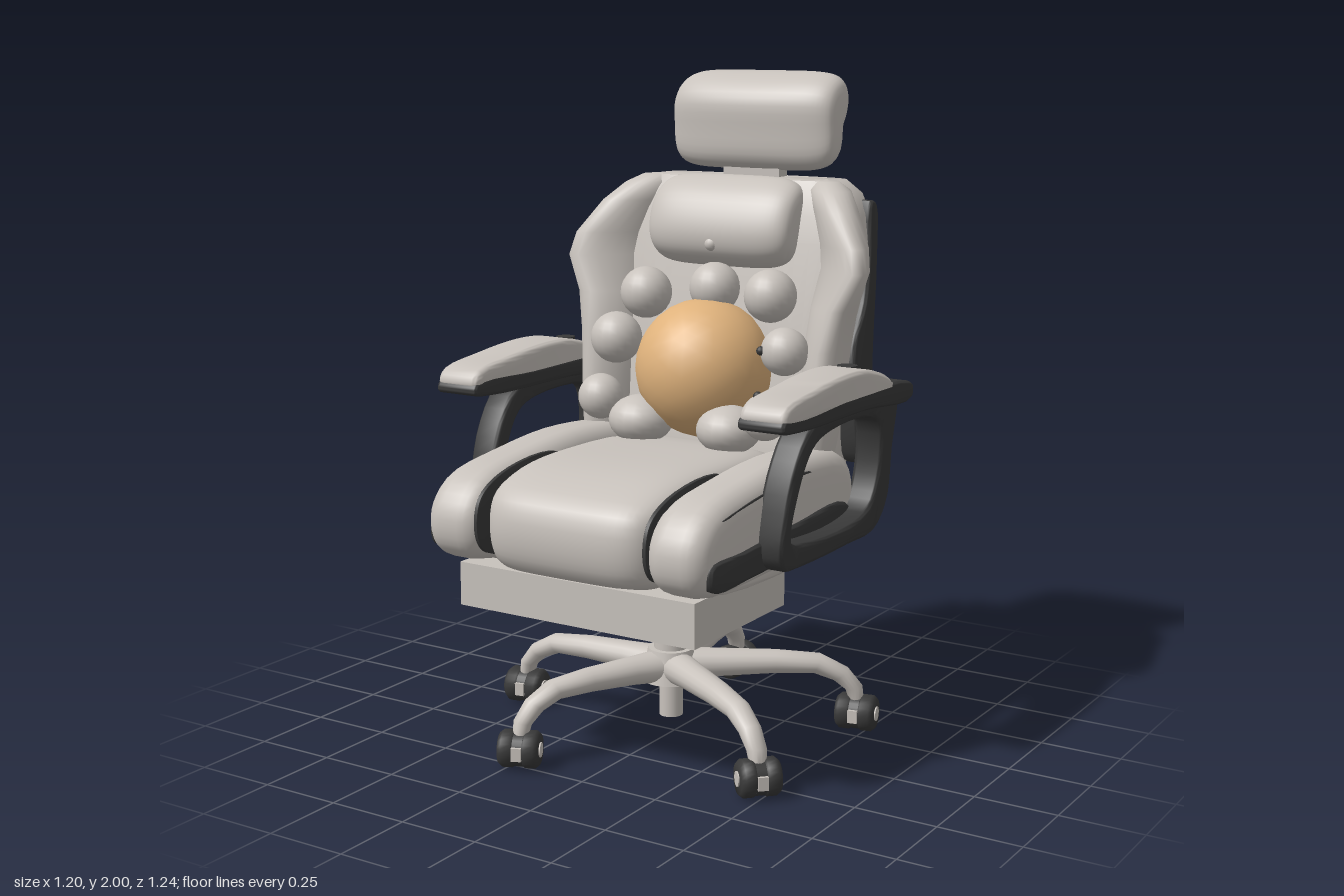
import * as THREE from 'three';
import { toCreasedNormals } from 'three/addons/utils/BufferGeometryUtils.js';

const mat = (name, color) => {
  const m = new THREE.MeshStandardMaterial({ color });
  m.name = name;
  return m;
};

// closed smooth outline through a few points
function outline(pts, n = 40) {
  const c = new THREE.CatmullRomCurve3(pts.map(([a, b]) => new THREE.Vector3(a, b, 0)), true, 'centripetal');
  return c.getPoints(n).slice(0, n).map(p => new THREE.Vector2(p.x, p.y));
}

// side profile of [z, y] points, extruded across x with rounded rims
function slab(pts, x, width, bevel, hole) {
  const shape = new THREE.Shape(outline(pts));
  if (hole) shape.holes.push(new THREE.Path(outline(hole)));
  const depth = width - 2 * bevel;
  const g = new THREE.ExtrudeGeometry(shape, {
    depth, bevelEnabled: true, bevelSize: bevel, bevelOffset: -bevel, bevelThickness: bevel, bevelSegments: 5,
  });
  g.translate(0, 0, -depth / 2).rotateY(-Math.PI / 2).translate(x, 0, 0);
  return toCreasedNormals(g, 0.8);
}

// moves each vertex sideways in proportion to its height above y0
function lean(geo, y0, slope) {
  const p = geo.attributes.position;
  for (let i = 0; i < p.count; i++) p.setX(i, p.getX(i) + (p.getY(i) - y0) * slope);
  return geo;
}

// skin over closed rings of points, capped at both ends and turned outwards
function loft(rings) {
  const n = rings[0].length, last = rings.length - 1, pts = rings.flat(), idx = [];
  for (let r = 0; r < last; r++) for (let i = 0; i < n; i++) {
    const a = r * n + i, b = r * n + (i + 1) % n;
    idx.push(a, b, a + n, b, b + n, a + n);
  }
  [0, last].forEach(r => {
    const c = pts.length;
    pts.push(rings[r].reduce((s, p) => s.add(p), new THREE.Vector3()).divideScalar(n));
    for (let i = 0; i < n; i++) {
      const a = r * n + i, b = r * n + (i + 1) % n;
      idx.push(...(r ? [c, a, b] : [c, b, a]));
    }
  });
  let volume = 0;
  for (let i = 0; i < idx.length; i += 3) {
    volume += pts[idx[i]].dot(pts[idx[i + 1]].clone().cross(pts[idx[i + 2]]));
  }
  if (volume < 0) idx.reverse();
  const g = new THREE.BufferGeometry().setFromPoints(pts);
  g.setIndex(idx);
  return toCreasedNormals(g, 0.9);
}

// stuffed cushion: a side profile swept across x, closing at both ends; bow thins the depth towards the ends
function cushion(pts, width, n, bow) {
  const o = outline(pts), c = o.reduce((s, p) => s.add(p), new THREE.Vector2()).divideScalar(o.length);
  return loft(Array.from({ length: 33 }, (_, i) => {
    const u = 0.9999 * Math.sin((i / 32 - 0.5) * Math.PI), k = (1 - Math.abs(u) ** n) ** (1 / n);
    return o.map(p => new THREE.Vector3(u * width / 2, c.y + (p.y - c.y) * k, c.x + (p.x - c.x) * k * (1 - bow * u * u)));
  }));
}

const ring = (n, f) => Array.from({ length: n }, (_, i) => f(Math.cos(i / n * 2 * Math.PI), Math.sin(i / n * 2 * Math.PI)));
const power = (v, e) => Math.sign(v) * Math.abs(v) ** e;
const path = pts => new THREE.CatmullRomCurve3(pts.map(a => new THREE.Vector3(...a)));

export function createModel() {
  const root = new THREE.Group();
  const light = mat('warm grey', 0xc8c2bc), dark = mat('charcoal', 0x393939), gold = mat('tan', 0xdfb27c);
  const add = (name, geo, material, x = 0, y = 0, z = 0, parent = root) => {
    const m = new THREE.Mesh(geo, material);
    m.name = name;
    m.position.set(x, y, z);
    parent.add(m);
    return m;
  };
  const box = (w, h, d) => new THREE.BoxGeometry(w, h, d);
  const cyl = (r, h, r2 = r) => new THREE.CylinderGeometry(r, r2, h, 24);

  // backrest: height, half width, back z, front z
  const back = [[0.615, 0.35, -0.33, -0.16], [0.65, 0.39, -0.36, -0.14], [0.9, 0.41, -0.41, -0.2],
    [1.2, 0.42, -0.46, -0.23], [1.5, 0.415, -0.52, -0.29], [1.58, 0.4, -0.54, -0.31],
    [1.64, 0.37, -0.54, -0.33], [1.68, 0.32, -0.52, -0.35]];
  add('backrest', loft(back.map(([y, w, zb, zf]) => ring(40, (c, s) =>
    new THREE.Vector3(w * power(c, 0.45), y, (zb + zf) / 2 + (zf - zb) / 2 * power(s, 0.45))))), light);

  // seat
  add('seatCushion', cushion([[0.57, 0.625], [0.615, 0.7], [0.6, 0.83], [0.48, 0.89], [0.2, 0.915],
    [-0.2, 0.87], [-0.28, 0.75], [-0.25, 0.63], [0.2, 0.61]], 0.59, 6, 0.02), light);
  add('seatPan', slab([[0.45, 0.61], [0.5, 0.66], [0.4, 0.74], [-0.33, 0.74], [-0.36, 0.66], [-0.33, 0.61]],
    0, 0.82, 0.02), light);

  for (const s of [1, -1]) {
    // shoulder wing running down into the side bolster: height, tip x, tip z, root x, half thickness
    const wing = [[0.78, 0.38, -0.12, 0.32, 0.03], [0.85, 0.4, -0.11, 0.32, 0.05], [1.0, 0.41, -0.12, 0.32, 0.065],
      [1.2, 0.425, -0.14, 0.32, 0.07], [1.32, 0.455, -0.165, 0.31, 0.07], [1.43, 0.51, -0.185, 0.3, 0.065],
      [1.5, 0.495, -0.205, 0.29, 0.065], [1.6, 0.425, -0.255, 0.27, 0.065], [1.655, 0.375, -0.31, 0.25, 0.06],
      [1.68, 0.335, -0.35, 0.24, 0.035]];
    add('sideWing', loft(wing.map(([y, tx, tz, rx, t]) => {
      const rz = -0.36 - (y - 1) * 0.14, d = Math.hypot(tx - rx, tz - rz);
      return ring(24, (c, q) => new THREE.Vector3(
        s * ((tx + rx) / 2 + (tx - rx) / 2 * c + (tz - rz) / d * t * q), y,
        (tz + rz) / 2 + (tz - rz) / 2 * c - (tx - rx) / d * t * q));
    })), light);
    add('backSideTrim', lean(slab([[-0.46, 1.62], [-0.495, 1.61], [-0.48, 1.45], [-0.415, 1.15], [-0.37, 0.85],
      [-0.31, 0.85], [-0.28, 1.02], [-0.3, 1.2], [-0.385, 1.32], [-0.43, 1.47]], s * 0.417, 0.07, 0.012),
    1.15, s * -0.08), dark);

    // seat bolster with its trims
    add('seatBolster', slab([[0.55, 0.63], [0.61, 0.68], [0.615, 0.78], [0.54, 0.865], [0.3, 0.91], [0, 0.925],
      [-0.25, 0.88], [-0.3, 0.75], [-0.25, 0.63], [0.2, 0.615]], s * 0.375, 0.19, 0.065), light);
    add('seatSeam', slab([[0.56, 0.66], [0.605, 0.72], [0.59, 0.82], [0.48, 0.88], [0.2, 0.89], [0.1, 0.8],
      [0.3, 0.65]], s * 0.285, 0.012, 0.002), dark);
    add('seatSideTrim', slab([[0.56, 0.66], [0.57, 0.725], [0.4, 0.735], [0.1, 0.75], [-0.2, 0.75], [-0.25, 0.68],
      [0.1, 0.66], [0.35, 0.65]], s * 0.445, 0.07, 0.012), dark);
    add('seatPiping', slab([[0.5, 0.84], [0.3, 0.87], [0, 0.88], [0, 0.865], [0.3, 0.85]], s * 0.46, 0.014, 0.002), dark);

    // armrest
    add('armLoop', lean(slab([[0.31, 0.7], [0.3, 0.8], [0.25, 0.95], [0.15, 1.06], [-0.1, 1.08], [-0.37, 1.07],
      [-0.36, 0.9], [-0.345, 0.74], [-0.27, 0.66], [-0.1, 0.65], [0.2, 0.65], [0.28, 0.66]], s * 0.503, 0.09, 0.014,
    [[0.25, 0.74], [0.22, 0.87], [0.15, 0.98], [0.05, 1.015], [-0.2, 1.015], [-0.265, 0.98], [-0.27, 0.83],
      [-0.22, 0.74], [-0.1, 0.71], [0.18, 0.72]]), 0.85, s * 0.04), dark);
    add('armPlate', slab([[0.39, 1.075], [0.38, 1.105], [0.1, 1.11], [-0.38, 1.1], [-0.41, 1.08], [-0.4, 1.045],
      [-0.1, 1.055], [0.3, 1.06]], s * 0.517, 0.148, 0.012), dark);
    add('armPad', slab([[0.385, 1.095], [0.37, 1.135], [0.2, 1.165], [0, 1.18], [-0.13, 1.17], [-0.26, 1.125],
      [-0.275, 1.1], [0, 1.09], [0.3, 1.08]], s * 0.518, 0.148, 0.02), light);
    add('armButton', cyl(0.03, 0.02), dark, s * 0.5, 1.163, -0.145);
    add('armBackBracket', box(0.14, 0.03, 0.12), dark, s * 0.505, 1.065, -0.35);
  }

  // headrest and its holder
  add('headrest', cushion([[-0.4, 1.92], [-0.4, 1.82], [-0.415, 1.73], [-0.46, 1.7], [-0.52, 1.73], [-0.54, 1.83],
    [-0.59, 1.89], [-0.605, 1.96], [-0.56, 2], [-0.46, 1.98]], 0.57, 6, 0.25), light);
  add('headrestNeck', box(0.2, 0.09, 0.05), light, 0, 1.69, -0.47);
  for (const x of [-0.11, 0.14]) {
    const bar = add('headrestBar', box(0.045, 0.18, 0.025), dark, x, 1.81, -0.595);
    bar.rotation.x = -0.08;
    for (const y of [1.73, 1.885]) add('headrestHook', box(0.035, 0.025, 0.09), dark, x, y, -0.56);
  }
  add('headrestFrame', new THREE.TubeGeometry(path([[-0.22, 1.74, -0.5], [-0.21, 1.86, -0.555], [0, 1.87, -0.575],
    [0.21, 1.86, -0.555], [0.22, 1.74, -0.5]]), 30, 0.013, 8), light);

  // neck pillow with button
  add('neckPillow', cushion([[-0.195, 1.53], [-0.21, 1.46], [-0.28, 1.415], [-0.38, 1.46], [-0.42, 1.6],
    [-0.4, 1.67], [-0.33, 1.69], [-0.24, 1.635]], 0.5, 5, 0.1), light);
  add('pillowButton', new THREE.SphereGeometry(0.022, 16, 10), light, 0, 1.49, -0.21);

  // round cushion ringed with small balls: x, y, z, radius
  add('roundCushion', new THREE.IcosahedronGeometry(0.212, 4), gold, 0, 1.115, -0.172);
  [[0, 1.355, -0.23, 0.078], [0.22, 1.35, -0.185, 0.08], [-0.22, 1.33, -0.185, 0.08], [0.295, 1.195, -0.14, 0.072],
    [-0.295, 1.19, -0.13, 0.08], [0.29, 1.015, -0.035, 0.07], [-0.29, 1.02, -0.035, 0.07],
    [0.155, 0.96, -0.055, 0.098], [-0.155, 0.96, -0.055, 0.1]].forEach(([x, y, z, r]) => {
    const b = add('ball', new THREE.SphereGeometry(r, 20, 14), light, x, y, z);
    if (y < 1) b.scale.y = 0.75;
  });
  for (const [x, y, z] of [[0.243, 1.2, -0.09], [0.275, 1.079, -0.018], [0.31, 1.077, -0.03]]) {
    add('ballStud', new THREE.SphereGeometry(0.014, 12, 8), dark, x, y, z);
  }

  // footrest drawer, tilt mechanism and lever
  add('footrest', box(0.8, 0.13, 0.5), light, 0, 0.545, 0.285);
  add('mechanism', box(0.24, 0.13, 0.21), dark, 0, 0.545, -0.067);
  add('tensionBlock', box(0.115, 0.12, 0.08), dark, 0.005, 0.43, 0.148);
  add('leverArm', new THREE.TubeGeometry(path([[-0.1, 0.55, -0.1], [-0.34, 0.535, -0.12], [-0.46, 0.485, -0.1]]), 16, 0.03, 10), dark);
  const paddle = add('leverPaddle', new THREE.SphereGeometry(1, 20, 12), dark, -0.51, 0.458, -0.07);
  paddle.scale.set(0.1, 0.046, 0.12);
  paddle.rotation.z = 0.25;

  // post and star base
  add('gasPost', cyl(0.052, 0.28), light, 0, 0.36, 0.02);
  add('lowerPost', cyl(0.036, 0.2), light, 0, 0.165, 0.02);
  add('hub', cyl(0.07, 0.1, 0.09), light, 0, 0.23, 0.02);
  // leg stations: distance, height, half width, half height, tilt
  const leg = [[0.01, 0.225, 0.058, 0.052, 0], [0.15, 0.228, 0.048, 0.042, 0], [0.3, 0.228, 0.042, 0.036, -0.05],
    [0.42, 0.22, 0.038, 0.032, -0.4], [0.49, 0.185, 0.034, 0.03, -0.9], [0.53, 0.14, 0.03, 0.027, -1.35],
    [0.54, 0.09, 0.024, 0.022, -1.57]];
  [[-0.54, 0.03, 0.15], [-0.22, 0.5, 0.4], [0.48, 0.32, 0.8], [0.47, -0.31, 0.2], [-0.1, -0.55, 1.4]].forEach(([x, z, turn]) => {
    const g = new THREE.Group();
    g.name = 'baseLeg';
    g.position.set(0, 0, 0.02);
    const len = Math.hypot(x, z - 0.02);
    g.rotation.y = Math.atan2(-(z - 0.02), x);
    root.add(g);
    add('leg', loft(leg.map(([r, y, w, h, t]) => ring(16, (c, q) =>
      new THREE.Vector3(r * len / 0.54 - Math.sin(t) * h * q, y + Math.cos(t) * h * q, w * c)))), light, 0, 0, 0, g);
    const caster = new THREE.Group();
    caster.name = 'caster';
    caster.position.set(x, 0.061, z);
    caster.rotation.y = turn;
    root.add(caster);
    for (const s of [1, -1]) {
      const profile = [[0, -0.026], [0.046, -0.026], [0.056, -0.014], [0.056, 0.014], [0.046, 0.026], [0, 0.026]];
      const wheel = new THREE.LatheGeometry(profile.map(a => new THREE.Vector2(...a)), 24).rotateZ(Math.PI / 2);
      add('wheel', toCreasedNormals(wheel, 0.9), dark, s * 0.034, 0, 0, caster);
      add('wheelCap', cyl(0.022, 0.006).rotateZ(Math.PI / 2), light, s * 0.061, 0, 0, caster);
    }
    add('casterCore', cyl(0.052, 0.03).rotateZ(Math.PI / 2), dark, 0, 0, 0, caster);
    add('casterFork', box(0.03, 0.04, 0.115), light, 0, 0, 0, caster);
  });
  return root;
}
